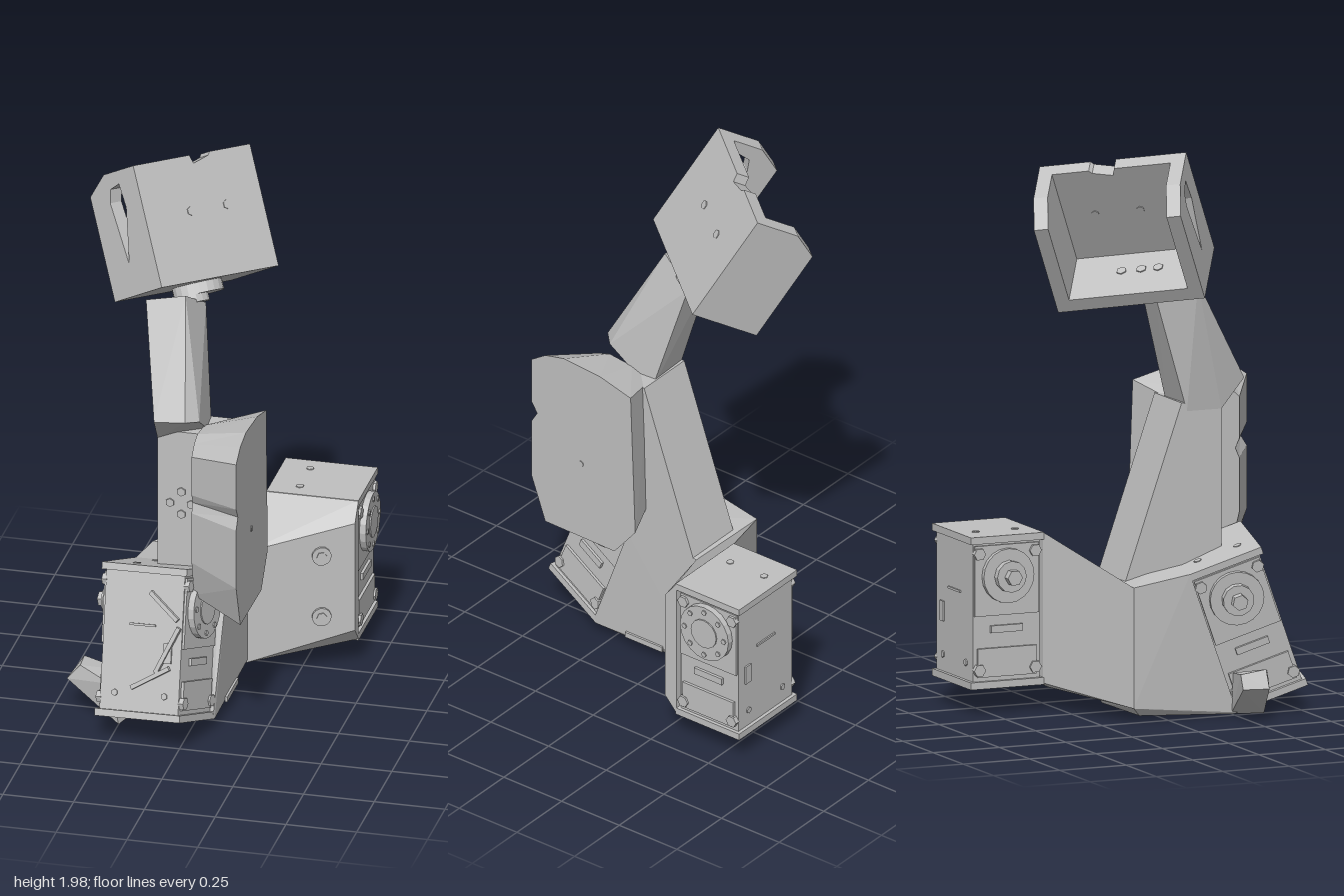
import * as THREE from 'three';
import { ConvexGeometry } from 'three/addons/geometries/ConvexGeometry.js';

const V = (x, y, z) => new THREE.Vector3(x, y, z);

export function createModel() {
  const root = new THREE.Group();
  root.name = 'robotArm';
  const grey = new THREE.MeshStandardMaterial({ color: 0xc0c0c0, flatShading: true });
  grey.name = 'light grey plastic';

  const add = (parent, name, geo) => {
    const m = new THREE.Mesh(geo, grey);
    m.name = name;
    parent.add(m);
    return m;
  };
  const box = (p, name, w, h, d, x, y, z) =>
    add(p, name, new THREE.BoxGeometry(w, h, d).translate(x, y, z));
  const hull = (p, name, pts) =>
    add(p, name, new ConvexGeometry(pts.map(q => (q.isVector3 ? q : V(...q)))));
  // disc or bolt lying along a given axis
  const disc = (p, name, r, h, pos, axis, sides = 6) => {
    const m = add(p, name, new THREE.CylinderGeometry(r, r, h, sides));
    m.position.set(...pos);
    m.quaternion.setFromUnitVectors(V(0, 1, 0), V(...axis).normalize());
    return m;
  };
  const shapeOf = pts => new THREE.Shape(pts.map(q => new THREE.Vector2(...q)));
  // side profile in (z, y), extruded from xRight towards -x
  const sideExtrude = (shape, xRight, depth) =>
    new THREE.ExtrudeGeometry(shape, { depth, bevelEnabled: false })
      .rotateY(-Math.PI / 2).translate(xRight, 0, 0);

  // Motor with its top and bottom bracket plates
  function motor(name) {
    const g = new THREE.Group();
    g.name = name;
    root.add(g);
    box(g, 'motorBody', 0.3, 0.48, 0.25, 0, 0, 0);
    for (const s of [-1, 1]) {
      box(g, 'bracketPlate', 0.325, 0.025, 0.275, 0, s * 0.2525, 0);
      box(g, 'sidePanelLower', 0.012, 0.1, 0.22, s * 0.154, -0.175, 0);
      box(g, 'sidePanelUpper', 0.012, 0.245, 0.24, s * 0.152, 0.11, 0);
      box(g, 'sideRib', 0.014, 0.025, 0.12, s * 0.153, -0.06, 0);
      for (const z of [-0.105, 0.105]) {
        for (const y of [-0.2, 0.205])
          disc(g, 'sideBolt', 0.022, 0.02, [s * 0.157, y, z], [1, 0, 0]);
        disc(g, 'plateBolt', 0.014, 0.004, [-0.06, s * 0.266, z * 0.7], [0, 1, 0]);
        disc(g, 'faceBolt', 0.012, 0.01, [z * 0.9, -0.18, s * 0.125], [0, 0, 1]);
      }
      box(g, 'faceSlot', 0.1, 0.008, 0.008, 0, 0.06, s * 0.126);
      box(g, 'cableSocket', 0.03, 0.07, 0.01, 0.1, -0.03, s * 0.126);
    }
    disc(g, 'hornDisc', 0.105, 0.035, [0.163, 0.125, 0], [1, 0, 0], 20);
    disc(g, 'hornCap', 0.055, 0.02, [0.175, 0.125, 0], [1, 0, 0], 16);
    disc(g, 'idlerDisc', 0.095, 0.03, [-0.16, 0.125, 0], [1, 0, 0], 20);
    disc(g, 'idlerHub', 0.055, 0.03, [-0.185, 0.125, 0], [1, 0, 0], 12);
    disc(g, 'idlerScrew', 0.028, 0.04, [-0.208, 0.125, 0], [1, 0, 0]);
    for (let i = 0; i < 8; i++) {
      const a = i * Math.PI / 4;
      disc(g, 'hornBolt', 0.01, 0.01,
        [0.18, 0.125 + 0.085 * Math.cos(a), 0.085 * Math.sin(a)], [1, 0, 0]);
    }
    return g;
  }
  const orient = (g, x, y, pos) => {
    const a = V(...x).normalize();
    const c = a.clone().cross(V(...y)).normalize();
    const b = c.clone().cross(a);
    g.quaternion.setFromRotationMatrix(new THREE.Matrix4().makeBasis(a, b, c));
    g.position.set(...pos);
    g.updateMatrix();
  };

  motor('rearMotor').position.set(0.27, 0.375, -0.443);
  const front = motor('frontMotor');
  orient(front, [0.97, 0.11, 0.2], [-0.09, 0.93, -0.36], [-0.12, 0.335, 0.318]);

  // Ridges across the front motor's face
  for (const [x, y, r, l] of [[0.04, -0.12, 0.5, 0.16], [0.1, -0.02, 1.1, 0.18], [0.08, 0.13, -0.7, 0.14]]) {
    const m = box(front, 'faceRidge', l, 0.015, 0.02, 0, 0, 0);
    m.position.set(x, y, 0.128);
    m.rotation.z = r;
  }
  for (const x of [-0.08, 0, 0.08])
    disc(front, 'undersideBolt', 0.012, 0.006, [x, -0.266, 0.06], [0, 1, 0]);

  // Base block, flowing into the tilted front bracket
  const back = [];
  for (const x of [-0.162, 0.162])
    for (const y of [-0.265, 0.265])
      for (const z of [-0.14, -0.125]) back.push(V(x, y, z).applyMatrix4(front.matrix));
  hull(root, 'base', [
    ...back,
    [-0.25, 0.07, -0.13], [0.085, 0.08, -0.125], [0.06, 0.04, -0.11], [-0.23, 0.04, -0.1],
    [-0.25, 0.49, -0.13], [0.085, 0.49, -0.125], [0.085, 0.485, 0.17],
  ]);
  box(root, 'baseSlot', 0.008, 0.02, 0.16, 0.086, 0.07, 0.1);
  for (const x of [-0.13, 0])
    disc(root, 'baseUndersideNut', 0.035, 0.008, [x, 0.037, 0], [0, 1, 0]);

  // Angled wall carrying the rear motor
  hull(root, 'rearBracket', [
    [0.085, 0.49, -0.125], [0.085, 0.07, -0.125], [-0.25, 0.49, -0.13], [-0.25, 0.07, -0.13],
    [0.11, 0.49, -0.29], [0.11, 0.1, -0.29],
    [0.432, 0.575, -0.258], [0.432, 0.17, -0.258],
    [0.432, 0.64, -0.308], [0.432, 0.115, -0.308], [0.11, 0.64, -0.308], [0.11, 0.115, -0.308],
  ]);
  for (const y of [0.23, 0.46]) {
    disc(root, 'bracketNutRing', 0.034, 0.012, [0.325, y, -0.214], [0.36, 0, 0.93], 12);
    disc(root, 'bracketNut', 0.018, 0.02, [0.325, y, -0.214], [0.36, 0, 0.93]);
  }

  // Sloping tab beside the front motor
  hull(root, 'sideTab', [
    [-0.45, 0.14, 0.29], [-0.43, 0.14, 0.2], [-0.41, 0.19, 0.2], [-0.4, 0.2, 0.3],
    [-0.25, 0.02, 0.36], [-0.22, 0.02, 0.25], [-0.26, 0.17, 0.24], [-0.28, 0.17, 0.36],
  ]);

  // Lower arm with a sloping back
  add(root, 'lowerArm', sideExtrude(shapeOf([
    [-0.12, 0.47], [0.25, 0.47], [0.25, 1.1], [0.1, 1.1],
  ]), 0.085, 0.225));
  for (const [x, y] of [[-0.055, 0.875], [-0.095, 0.83], [-0.02, 0.83], [-0.055, 0.79]])
    disc(root, 'armBolt', 0.016, 0.012, [x, y, 0.25], [0, 0, 1]);

  // Tapering side shell with a small notch in its front edge
  const shell = sideExtrude(shapeOf([
    [0.14, 0.48], [0.44, 0.485], [0.5, 0.65], [0.5, 0.87], [0.475, 0.91], [0.5, 0.95],
    [0.5, 1.12], [0.44, 1.16], [0.36, 1.178], [0.2, 1.165], [0.07, 1.13], [0.05, 0.59],
  ]), 0.2, 0.185);
  const sp = shell.attributes.position;
  for (let i = 0; i < sp.count; i++) {
    if (sp.getX(i) > 0.1) continue;
    sp.setZ(i, 0.25 + (sp.getZ(i) - 0.27) * 0.6);
    sp.setY(i, 0.83 + (sp.getY(i) - 0.83) * 0.85);
  }
  shell.computeVertexNormals();
  add(root, 'sideShell', shell);
  disc(root, 'shellScrew', 0.011, 0.006, [0.2, 0.78, 0.285], [1, 0, 0], 10);

  // Narrow neck up to the head
  hull(root, 'neck', [
    [-0.14, 1.07, 0.12], [0.02, 1.05, 0.12], [0.02, 1.17, 0.3], [-0.14, 1.07, 0.25],
    [-0.13, 1.17, 0.34], [-0.02, 1.18, 0.34], [0.0, 1.2, 0.12],
    [-0.21, 1.53, 0.13], [-0.07, 1.56, 0.13], [-0.03, 1.48, 0.0], [-0.15, 1.47, 0.0],
  ]);

  // Head: a tilted tray, open at the top and back
  const head = new THREE.Group();
  head.name = 'head';
  root.add(head);
  orient(head, [0.31, -0.07, -0.41], [-0.14, 0.37, -0.18], [-0.13, 1.63, 0.228]);
  const W = 0.52, H = 0.43, D = 0.27, T = 0.05;
  add(head, 'headFront', new THREE.ExtrudeGeometry(shapeOf([
    [0, 0], [W, 0], [W, H], [0.34, H], [0.33, H - 0.012], [0.26, H - 0.03], [0.25, H], [0, H],
  ]), { depth: T, bevelEnabled: false }).translate(0, 0, -T));
  box(head, 'headFloor', W, T, D, W / 2, T / 2, -D / 2);
  const wall = () => shapeOf([
    [0, 0], [0, H], [-0.17, H], [-D, H - 0.06], [-D, 0],
  ]);
  const holed = wall();
  holed.holes.push(new THREE.Path([
    [-0.1, 0.385], [-0.15, 0.375], [-0.17, 0.33], [-0.145, 0.11], [-0.09, 0.3],
  ].map(q => new THREE.Vector2(...q))));
  add(head, 'headSideRight', sideExtrude(holed, T, T));
  add(head, 'headSideLeft', sideExtrude(wall(), W, T));
  for (const x of [0.2, 0.36]) {
    disc(head, 'headBolt', 0.016, 0.006, [x, 0.24, 0], [0, 0, 1]);
    disc(head, 'headInnerBolt', 0.014, 0.006, [x, 0.24, -T], [0, 0, 1]);
  }
  for (const x of [0.17, 0.23, 0.3])
    disc(head, 'floorBolt', 0.018, 0.008, [x, T, -0.14], [0, 1, 0]);
  disc(head, 'headPivot', 0.085, 0.04, [0.26, -0.018, -0.13], [0, 1, 0], 20);
  disc(head, 'headPivotHub', 0.06, 0.07, [0.22, -0.03, -0.13], [0, 1, 0], 16);

  return root;
}
